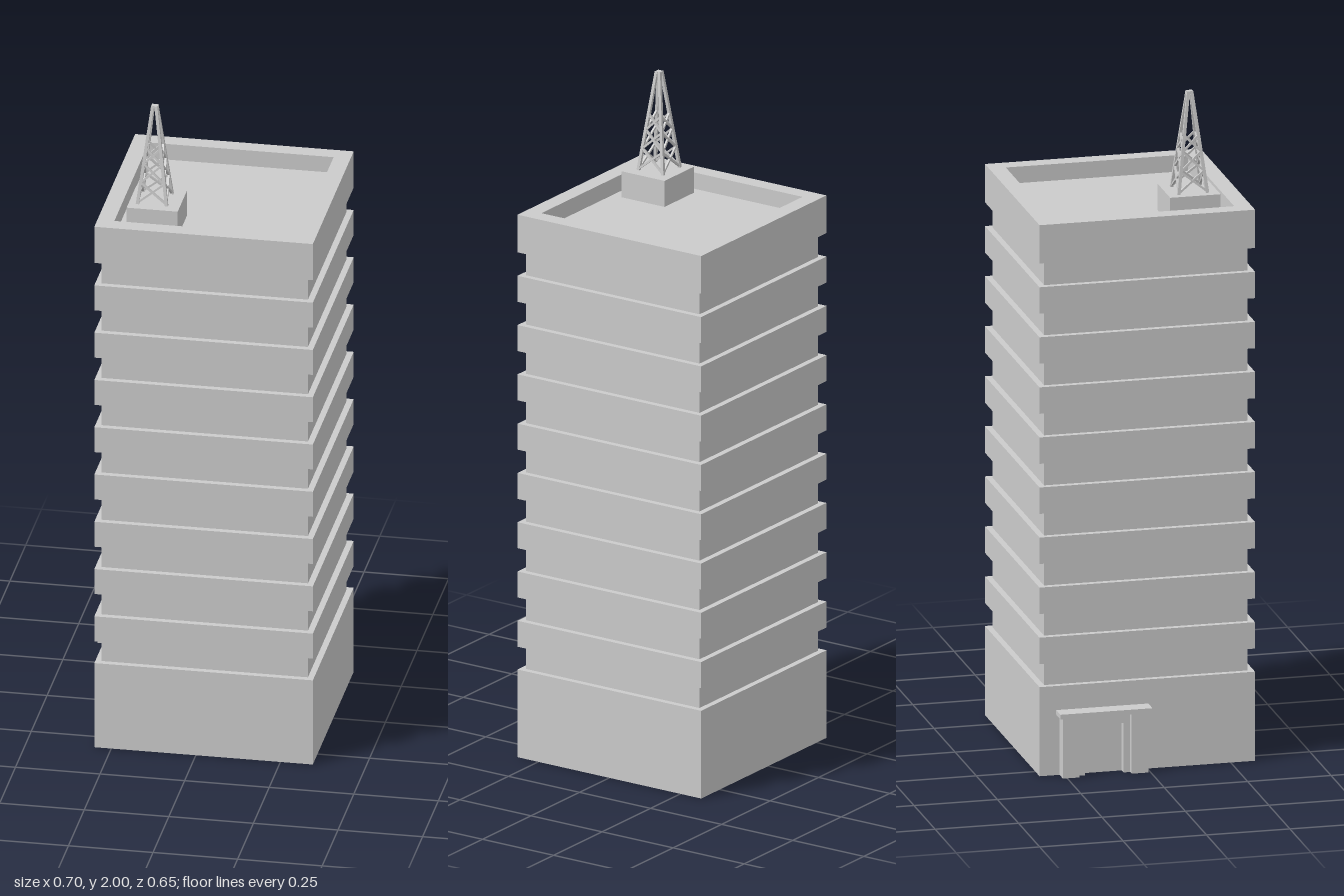
import * as THREE from 'three';

export function createModel() {
  const model = new THREE.Group();
  const grey = new THREE.MeshStandardMaterial({ color: 0xcccccc, flatShading: true });
  const shellGrey = new THREE.MeshStandardMaterial({ color: 0xcccccc, flatShading: true, side: THREE.DoubleSide });

  // Box given by its minimum and maximum corners
  function box(name, parent, [x0, y0, z0], [x1, y1, z1]) {
    const mesh = new THREE.Mesh(new THREE.BoxGeometry(x1 - x0, y1 - y0, z1 - z0), grey);
    mesh.position.set((x0 + x1) / 2, (y0 + y1) / 2, (z0 + z1) / 2);
    mesh.name = name;
    parent.add(mesh);
  }

  // Square bar between two points
  const up = new THREE.Vector3(0, 1, 0);
  function bar(name, parent, a, b, width) {
    const dir = b.clone().sub(a);
    const mesh = new THREE.Mesh(new THREE.BoxGeometry(width, dir.length(), width), grey);
    mesh.position.copy(a).add(b).multiplyScalar(0.5);
    mesh.quaternion.setFromUnitVectors(up, dir.normalize());
    mesh.name = name;
    parent.add(mesh);
  }

  // Tower shell: stepped half-width profile swept round a square, open below
  const wide = 0.323, narrow = 0.305, pitch = 0.1517;
  const steps = [[wide, 0], [wide, 0.27], [narrow, 0.27]];
  for (let i = 0; i < 8; i++) {
    const y = 0.34 + i * pitch;
    steps.push([narrow, y], [wide, y], [wide, y + 0.08], [narrow, y + 0.08]);
  }
  // Parapet and sunken roof
  steps.push([narrow, 1.554], [wide, 1.554], [wide, 1.67], [0.273, 1.67], [0.273, 1.62], [0, 1.62]);
  const profile = steps.map(([half, y]) => new THREE.Vector2(half * Math.SQRT2, y));
  const tower = new THREE.Mesh(new THREE.LatheGeometry(profile, 4, Math.PI / 4), shellGrey);
  tower.position.x = 0.023;
  tower.name = 'towerShell';
  model.add(tower);

  // Entrance porch on the -x side
  const entrance = new THREE.Group();
  entrance.name = 'entrance';
  model.add(entrance);
  const zMid = -0.135;
  box('canopy', entrance, [-0.35, 0.183, zMid - 0.138], [-0.298, 0.197, zMid + 0.138]);
  box('lintel', entrance, [-0.322, 0.15, zMid - 0.08], [-0.298, 0.183, zMid + 0.08]);
  for (const s of [-1, 1]) {
    const span = (a, b) => [zMid + s * a, zMid + s * b].sort((p, q) => p - q);
    const [p0, p1] = span(0.078, 0.128);
    box('porchPillar', entrance, [-0.34, 0, p0], [-0.298, 0.183, p1]);
    const [j0, j1] = span(0.058, 0.078);
    box('doorJamb', entrance, [-0.322, 0, j0], [-0.298, 0.15, j1]);
  }

  // Rooftop plinth
  box('mastPlinth', model, [-0.22, 1.62, 0.089], [-0.069, 1.7, 0.24]);

  // Lattice mast: four tapering legs with crossed braces
  const mast = new THREE.Group();
  mast.name = 'latticeMast';
  mast.position.set(-0.151, 1.7, 0.164);
  model.add(mast);
  const height = 0.299;
  const corner = (k, y) => {
    const r = THREE.MathUtils.lerp(0.043, 0.005, y / height);
    const a = Math.PI / 4 + k * Math.PI / 2;
    return new THREE.Vector3(Math.SQRT2 * r * Math.cos(a), y, Math.SQRT2 * r * Math.sin(a));
  };
  const levels = [0.004, 0.065, 0.122, 0.17];
  for (let k = 0; k < 4; k++) {
    bar('mastLeg', mast, corner(k, 0), corner(k, height), 0.009);
    for (let i = 0; i < 3; i++) {
      bar('mastBrace', mast, corner(k, levels[i]), corner(k + 1, levels[i + 1]), 0.006);
      bar('mastBrace', mast, corner(k + 1, levels[i]), corner(k, levels[i + 1]), 0.006);
    }
  }
  box('mastCap', mast, [-0.008, 0.292, -0.008], [0.008, 0.3, 0.008]);

  return model;
}
